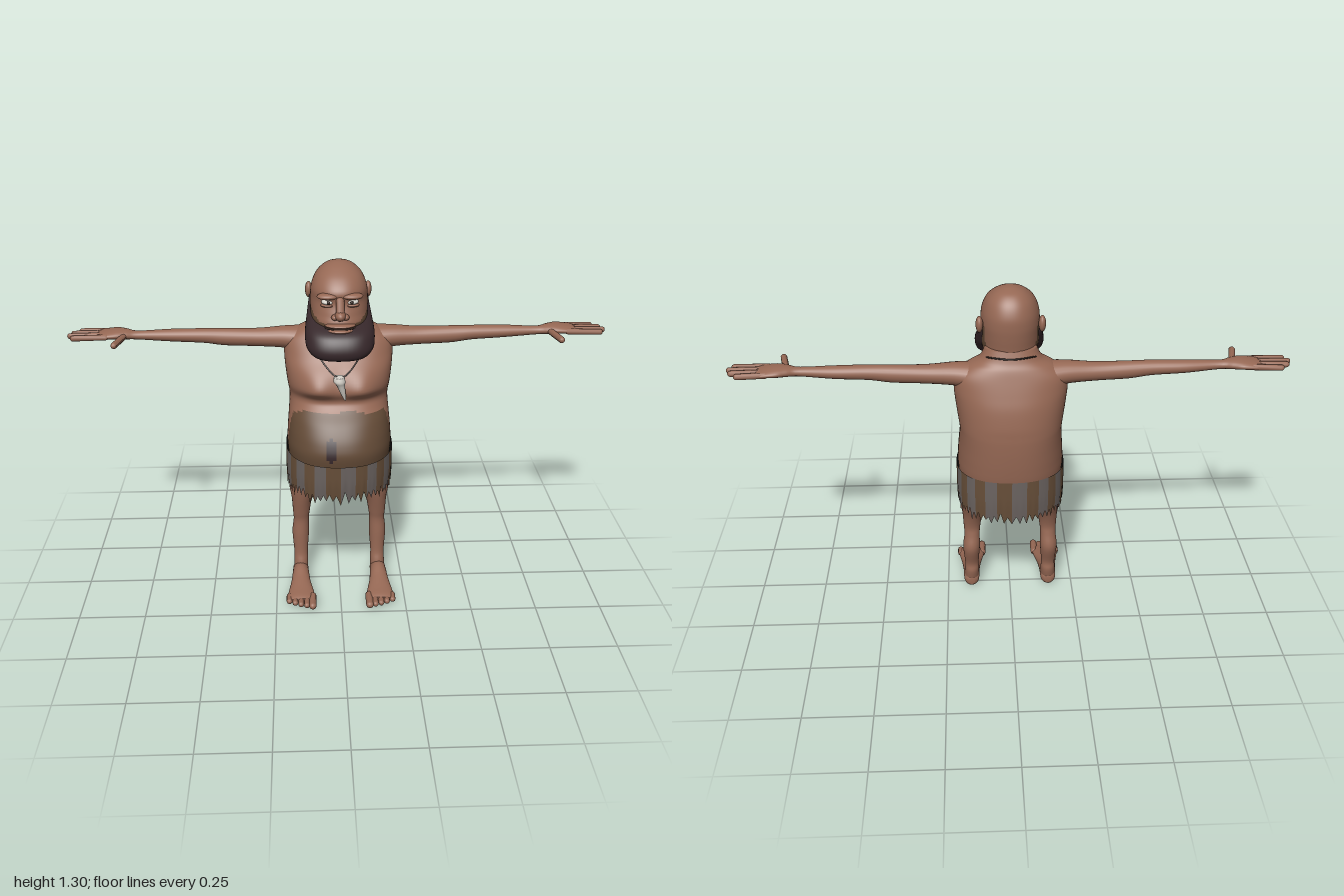
import * as THREE from 'three';

const mat = (name, color, side = THREE.FrontSide) => Object.assign(new THREE.MeshStandardMaterial({ color, side }), { name });

// Smooth loft: rings are [x, y, z, radiusU, radiusV], ascending along the axis.
// Axis x: U=y V=z, axis y: U=z V=x, axis z: U=x V=y. pick() chooses a material per face.
function loft(axis, rings, { segs = 24, steps = 5, e = 2, caps = true, pick = null } = {}) {
  const k = 'xyz'.indexOf(axis), u = (k + 1) % 3, v = (k + 2) % 3;
  const rows = [], pos = [], faces = [];
  const at = i => rings[Math.min(Math.max(i, 0), rings.length - 1)];
  for (let i = 0; i < rings.length - 1; i++) {
    for (let s = 0; s < steps; s++) {
      const t = s / steps;
      rows.push(at(i).map((p1, c) => {
        const p0 = at(i - 1)[c], p2 = at(i + 1)[c], p3 = at(i + 2)[c];
        return p1 + 0.5 * t * (p2 - p0 + t * (2 * p0 - 5 * p1 + 4 * p2 - p3 + t * (3 * (p1 - p2) + p3 - p0)));
      }));
    }
  }
  rows.push(at(rings.length));
  const bend = c => Math.sign(c) * Math.abs(c) ** (2 / e);
  for (const r of rows) {
    for (let i = 0; i < segs; i++) {
      const a = (i / segs) * Math.PI * 2, p = r.slice(0, 3);
      p[u] += r[3] * bend(Math.cos(a));
      p[v] += r[4] * bend(Math.sin(a));
      pos.push(...p);
    }
  }
  const add = (m, ...idx) => (faces[m] ??= []).push(...idx);
  for (let r = 0; r < rows.length - 1; r++) {
    for (let i = 0; i < segs; i++) {
      const j = (i + 1) % segs, A = r * segs + i, B = r * segs + j, C = B + segs, D = A + segs;
      const mid = c => (pos[A * 3 + c] + pos[B * 3 + c] + pos[C * 3 + c] + pos[D * 3 + c]) / 4;
      add(pick ? pick(mid(0), mid(1), mid(2), i) : 0, A, B, C, A, C, D);
    }
  }
  if (caps) {
    const n = rows.length * segs, last = n - segs;
    pos.push(...rows[0].slice(0, 3), ...rows[rows.length - 1].slice(0, 3));
    for (let i = 0; i < segs; i++) {
      const j = (i + 1) % segs;
      add(0, n, j, i);
      add(0, n + 1, last + i, last + j);
    }
  }
  const g = new THREE.BufferGeometry();
  g.setAttribute('position', new THREE.Float32BufferAttribute(pos, 3));
  const index = [];
  faces.forEach((f, m) => { g.addGroup(index.length, f.length, m); for (const x of f) index.push(x); });
  g.setIndex(index);
  g.computeVertexNormals();
  return g;
}

// Move every vertex by a rule
function reshape(g, rule) {
  const p = g.attributes.position, w = new THREE.Vector3();
  for (let i = 0; i < p.count; i++) {
    rule(w.fromBufferAttribute(p, i), i);
    p.setXYZ(i, w.x, w.y, w.z);
  }
  g.computeVertexNormals();
  return g;
}

// Copy across x = 0, keeping faces outward
function mirrored(geo) {
  const g = geo.clone().scale(-1, 1, 1), ix = g.index.array;
  for (let i = 0; i < ix.length; i += 3) [ix[i], ix[i + 1]] = [ix[i + 1], ix[i]];
  g.computeVertexNormals();
  return g;
}

const ball = (x, y, z, rx, ry, rz) => new THREE.SphereGeometry(1, 20, 14).scale(rx, ry, rz).translate(x, y, z);

// Rounded finger or toe between two points
function digit(a, b, r) {
  const A = new THREE.Vector3(...a), B = new THREE.Vector3(...b), d = B.clone().sub(A);
  const q = new THREE.Quaternion().setFromUnitVectors(new THREE.Vector3(0, 1, 0), d.clone().normalize());
  return new THREE.CapsuleGeometry(r, d.length() - r, 5, 10).applyQuaternion(q).translate(...A.add(B).multiplyScalar(0.5).toArray());
}

export function createModel() {
  const root = new THREE.Group();
  root.name = 'beardedMan';
  const skin = mat('skin', 0x966854), grime = mat('grime', 0x634a36), beard = mat('darkHair', 0x36272a);
  const greyHide = mat('greyHide', 0x6e6663), brownHide = mat('brownHide', 0x6a513b);
  const lining = mat('lining', 0x0e0c0c, THREE.BackSide), ivory = mat('ivory', 0xd6d2ca), cord = mat('cord', 0x30241f);
  const add = (name, geo, m) => {
    const mesh = new THREE.Mesh(geo, m);
    mesh.name = name;
    root.add(mesh);
  };
  const pair = (name, geo, m) => {
    add(name + 'Left', geo, m);
    add(name + 'Right', mirrored(geo), m);
  };
  // Body ring from height, half width, front z, back z
  const ring = ([y, w, f, b]) => [0, y, (f + b) / 2, (f - b) / 2, w];

  // Torso with grimy belly and a dark navel mark
  const torso = loft('y', [
    [0.43, 0.12, 0.06, -0.15], [0.5, 0.18, 0.14, -0.21], [0.6, 0.196, 0.17, -0.232], [0.66, 0.195, 0.16, -0.24],
    [0.72, 0.19, 0.125, -0.244], [0.77, 0.186, 0.078, -0.245], [0.8, 0.187, 0.062, -0.244], [0.84, 0.193, 0.074, -0.241],
    [0.9, 0.2, 0.055, -0.23], [0.95, 0.203, 0.02, -0.214], [1.0, 0.196, -0.01, -0.196], [1.035, 0.155, -0.025, -0.182],
    [1.06, 0.11, -0.03, -0.168], [1.1, 0.09, -0.03, -0.153]].map(ring), {
    segs: 112, steps: 6, e: 2.3,
    pick: (x, y, z) => {
      if (z > 0 && ((x + 0.035) / 0.019) ** 2 + ((y - 0.645) / 0.048) ** 2 < 1) return 2;
      return z > 0.015 && y < 0.767 - 0.25 * Math.max(0, 0.09 - z) + 0.006 * Math.sin(x * 40) ? 1 : 0;
    } });
  reshape(torso, p => {
    if (p.z > -0.06) p.z += 0.026 * Math.exp(-(((Math.abs(p.x) - 0.085) / 0.06) ** 2) - ((p.y - 0.85) / (p.y < 0.85 ? 0.03 : 0.06)) ** 2);
  });
  add('torso', torso, [skin, grime, beard]);

  // Head with stubble on the cheeks
  add('head', loft('y', [
    [1.0, 0.092, 0.0, -0.16], [1.05, 0.094, 0.05, -0.15], [1.1, 0.103, 0.1, -0.155], [1.14, 0.104, 0.092, -0.16],
    [1.18, 0.104, 0.08, -0.163], [1.22, 0.1, 0.082, -0.16], [1.26, 0.083, 0.05, -0.143], [1.288, 0.054, 0.005, -0.115],
    [1.301, 0.024, -0.03, -0.08], [1.304, 0.003, -0.052, -0.058]].map(ring), {
    segs: 72, steps: 6, e: 2.15,
    pick: (x, y, z) => (z > -0.1 && y < Math.min(1.19, 1.148 - 0.45 * z) && (Math.abs(x) > 0.04 || y < 1.11) ? 1 : 0),
  }), [skin, grime]);

  // Beard sweeping from the ears to the chin
  add('beard', loft('y', [
    [0, 0.987, 0.11, 0.02, 0.035], [0, 0.998, 0.1, 0.056, 0.09], [0, 1.025, 0.078, 0.086, 0.119], [0, 1.06, 0.05, 0.102, 0.125],
    [0, 1.085, 0.022, 0.105, 0.123], [0, 1.11, -0.015, 0.08, 0.118], [0, 1.14, -0.058, 0.038, 0.112],
    [0, 1.17, -0.075, 0.016, 0.107]], { segs: 48, e: 2.4 }), beard);

  // Face
  add('nose', ball(0, 1.146, 0.1, 0.019, 0.019, 0.031), skin);
  add('noseBridge', digit([0, 1.2, 0.08], [0, 1.15, 0.105], 0.015), skin);
  pair('nostril', ball(0.019, 1.139, 0.096, 0.013, 0.011, 0.016), skin);
  pair('browRidge', ball(0.042, 1.207, 0.066, 0.04, 0.012, 0.026).rotateZ(0), skin);
  pair('eye', ball(0.043, 1.186, 0.061, 0.023, 0.01, 0.022), ivory);
  pair('pupil', ball(0.041, 1.187, 0.08, 0.006, 0.007, 0.005), cord);
  pair('lowerLid', ball(0.043, 1.174, 0.064, 0.026, 0.007, 0.019), skin);
  add('upperLip', ball(0, 1.108, 0.092, 0.055, 0.009, 0.03), skin);
  add('lowerLip', ball(0, 1.091, 0.094, 0.048, 0.009, 0.034), skin);
  add('mouthLine', ball(0, 1.099, 0.089, 0.055, 0.003, 0.032), cord);
  pair('ear', ball(0.109, 1.182, -0.102, 0.013, 0.03, 0.02), skin);

  // Arms and hands
  pair('arm', loft('x', [
    [0.13, 0.99, -0.108, 0.05, 0.06], [0.2, 0.998, -0.106, 0.041, 0.048], [0.3, 0.998, -0.105, 0.034, 0.036],
    [0.42, 1.001, -0.104, 0.032, 0.031], [0.5, 1.007, -0.103, 0.027, 0.029], [0.62, 1.01, -0.104, 0.023, 0.027],
    [0.74, 1.013, -0.101, 0.016, 0.02], [0.785, 1.018, -0.102, 0.018, 0.034], [0.82, 1.02, -0.104, 0.018, 0.046],
    [0.865, 1.018, -0.104, 0.014, 0.048], [0.89, 1.016, -0.104, 0.009, 0.044]]), skin);
  [0.965, 0.99, 1.0, 0.985].forEach((tip, i) => {
    const z = -0.143 + i * 0.027;
    pair('finger' + (i + 1), digit([0.85, 1.018, z * 0.9 - 0.01], [tip - 0.005, 1.016, z], 0.011), skin);
  });
  pair('thumb', digit([0.79, 1.016, -0.085], [0.815, 1.015, 0.022], 0.012), skin);

  // Legs, feet and toes
  pair('leg', loft('y', [
    [0.155, 0.025, -0.006, 0.03, 0.028], [0.153, 0.08, -0.018, 0.03, 0.028], [0.153, 0.12, -0.022, 0.024, 0.027],
    [0.153, 0.2, -0.035, 0.036, 0.033], [0.15, 0.26, -0.03, 0.029, 0.03], [0.149, 0.3, -0.024, 0.031, 0.033],
    [0.145, 0.36, -0.025, 0.047, 0.041], [0.134, 0.42, -0.032, 0.068, 0.061], [0.11, 0.5, -0.035, 0.09, 0.08]]), skin);
  pair('foot', loft('z', [
    [0.155, 0.03, -0.042, 0.012, 0.016], [0.155, 0.034, -0.025, 0.029, 0.031], [0.155, 0.04, 0.02, 0.032, 0.038],
    [0.155, 0.033, 0.08, 0.038, 0.028], [0.154, 0.026, 0.14, 0.049, 0.02], [0.154, 0.022, 0.18, 0.054, 0.016],
    [0.154, 0.021, 0.198, 0.049, 0.01]]), skin);
  [0.244, 0.236, 0.229, 0.219, 0.207].forEach((tip, i) => {
    const x = 0.11 + i * 0.0225, r = i ? 0.0115 : 0.0145;
    pair('toe' + (i + 1), digit([x, 0.023, 0.16], [x, 0.02, tip - r / 2], r), skin);
  });

  // Striped hide skirt with a ragged hem and dark lining
  const cols = 112;
  let seed = 7;
  const rand = () => (seed = (seed * 16807) % 2147483647) / 2147483647;
  const hem = Array.from({ length: cols }, (_, i) => (i % 2 ? 0.452 : 0.418) + rand() * 0.024);
  const skirt = loft('y', [[0, 0.42, -0.032, 0.189, 0.2], [0, 0.5, -0.031, 0.2, 0.203], [0, 0.6, -0.03, 0.207, 0.202]], {
    segs: cols, steps: 4, e: 2.3, caps: false, pick: (x, y, z, i) => Math.floor(i / 4) % 2 });
  reshape(skirt, (p, i) => {
    p.y = THREE.MathUtils.lerp(hem[i % cols], 0.6 - 0.07 * p.z, (p.y - 0.42) / 0.18);
  });
  add('skirt', skirt, [greyHide, brownHide]);
  add('skirtLining', skirt, [lining, lining]);

  // Necklace cord and tooth pendant
  const half = [[0.085, 1.072, -0.135], [0.108, 1.04, -0.045], [0.075, 0.97, 0.035]];
  const loop = [[0, 1.078, -0.172], ...half, [0, 0.91, 0.097], ...half.slice().reverse().map(([x, y, z]) => [-x, y, z])];
  const path = new THREE.CatmullRomCurve3(loop.map(p => new THREE.Vector3(...p)), true);
  add('necklaceCord', new THREE.TubeGeometry(path, 80, 0.0032, 6, true), cord);
  add('toothPendant', loft('y', [
    [0.018, 0.82, 0.092, 0.003, 0.003], [0.01, 0.85, 0.093, 0.011, 0.01], [0.002, 0.88, 0.095, 0.018, 0.015],
    [-0.003, 0.896, 0.095, 0.024, 0.022], [-0.004, 0.914, 0.095, 0.02, 0.019]], { segs: 14 }), ivory);
  return root;
}
